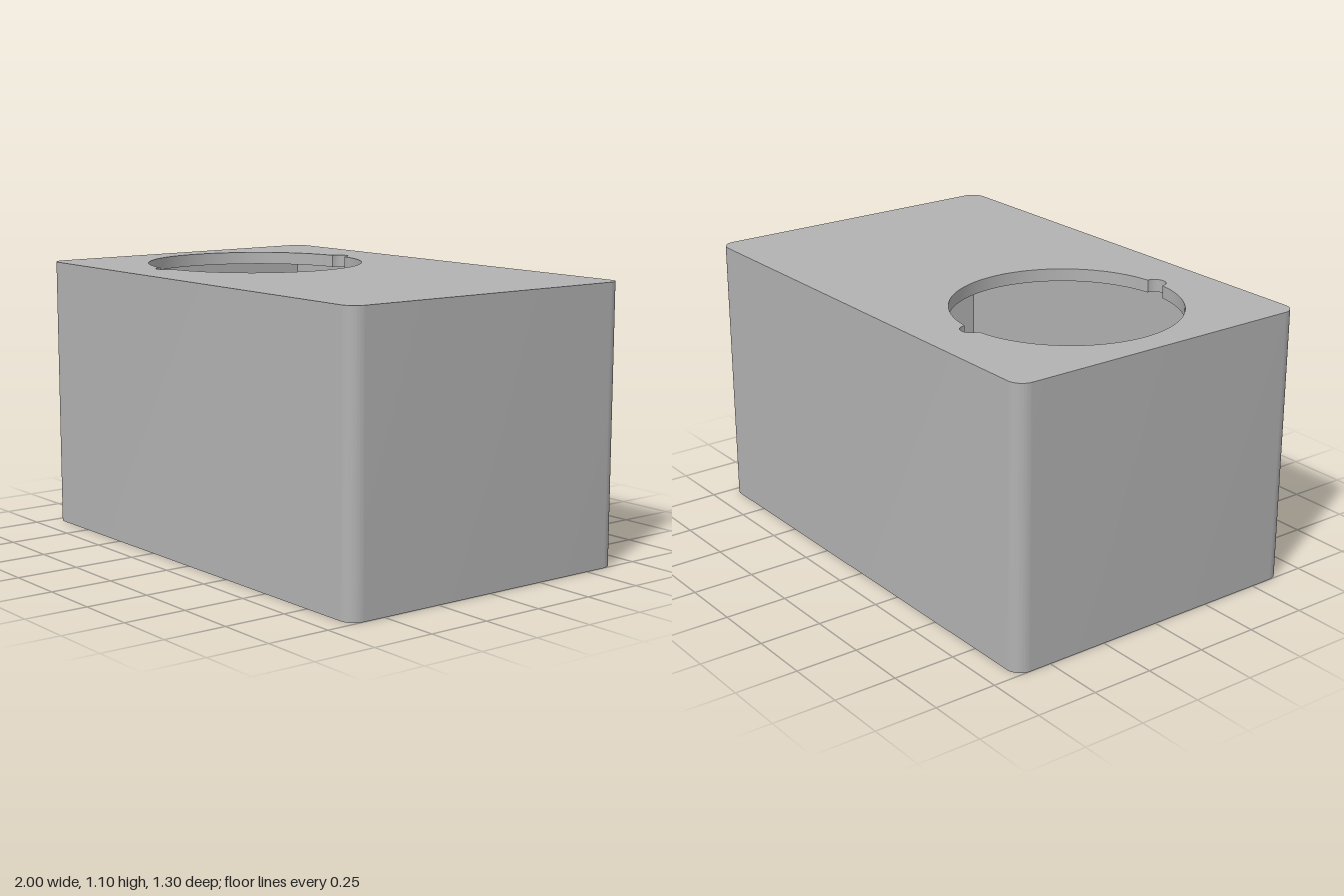
import * as THREE from 'three';
import { toCreasedNormals } from 'three/addons/utils/BufferGeometryUtils.js';

const H = 1.1, WALL = 0.055, TOP = 0.05, LID = 0.05, RECESS = 0.02;
const VENT_X = -0.45, OPEN_R = 0.44, NOTCH_R = 0.042;

// Outlines are drawn in the ground plane as (x, -z)
function roundedRect(w, d, r) {
  const s = new THREE.Shape(), x = w / 2, y = d / 2;
  s.absarc(x - r, y - r, r, 0, Math.PI / 2);
  s.absarc(-x + r, y - r, r, Math.PI / 2, Math.PI);
  s.absarc(-x + r, -y + r, r, Math.PI, Math.PI * 1.5);
  s.absarc(x - r, -y + r, r, Math.PI * 1.5, Math.PI * 2);
  s.closePath();
  return s;
}

function rect(cx, cy, w, d) {
  const x = w / 2, y = d / 2;
  return new THREE.Shape([[-x, -y], [x, -y], [x, y], [-x, y]].map(([a, b]) => new THREE.Vector2(cx + a, cy + b)));
}

function circle(x, y, r) {
  return new THREE.Shape().absarc(x, y, r, 0, Math.PI * 2);
}

// Round opening with a small key notch at the front and back
function openingShape() {
  const pts = [];
  const arc = (cx, cy, r, a0, a1, n) => {
    for (let i = 0; i < n; i++) {
      const a = a0 + (a1 - a0) * i / (n - 1);
      pts.push(new THREE.Vector2(cx + r * Math.cos(a), cy + r * Math.sin(a)));
    }
  };
  const gap = 2 * Math.asin(NOTCH_R / 2 / OPEN_R) + 0.012;
  for (const mid of [Math.PI / 2, Math.PI * 1.5]) {
    arc(VENT_X, 0, OPEN_R, mid - Math.PI + gap, mid - gap, 40);
    arc(VENT_X, OPEN_R * Math.sin(mid), NOTCH_R, mid - Math.PI / 2, mid + Math.PI / 2, 13);
  }
  return new THREE.Shape(pts);
}

// Upright band following an outline; inward turns the visible side to the inside
function band(points, y0, y1, inward) {
  const pts = inward ? [...points].reverse() : points;
  const pos = [];
  pts.forEach((p, i) => {
    const q = pts[(i + 1) % pts.length];
    if (p.distanceTo(q) < 1e-6) return;
    pos.push(p.x, y0, -p.y, q.x, y0, -q.y, q.x, y1, -q.y);
    pos.push(p.x, y0, -p.y, q.x, y1, -q.y, p.x, y1, -p.y);
  });
  const g = new THREE.BufferGeometry();
  g.setAttribute('position', new THREE.Float32BufferAttribute(pos, 3));
  return toCreasedNormals(g, 0.6);
}

// Flat face at a height, seen from above or below
function face(shape, y, up) {
  return new THREE.ShapeGeometry(shape, 8).rotateX(up ? -Math.PI / 2 : Math.PI / 2).translate(0, y, 0);
}

// Solid plate standing at a height
function slab(shape, y, thickness) {
  const g = new THREE.ExtrudeGeometry(shape, { depth: thickness, bevelEnabled: false, curveSegments: 10 });
  return toCreasedNormals(g.rotateX(-Math.PI / 2).translate(0, y, 0), 0.7);
}

export function createModel() {
  const model = new THREE.Group();
  model.name = 'enclosure';
  const grey = new THREE.MeshStandardMaterial({ color: 0xb2b2b2 });
  grey.name = 'grey plastic';
  const add = (parent, name, geometry) => {
    const m = new THREE.Mesh(geometry, grey);
    m.name = name;
    parent.add(m);
  };

  // Hollow case
  const body = new THREE.Group();
  body.name = 'case';
  model.add(body);
  const outer = () => roundedRect(2, 1.3, 0.06);
  const inner = () => rect(0, 0, 2 - 2 * WALL, 1.3 - 2 * WALL);
  const opening = openingShape();
  const top = outer(), ceiling = inner(), rim = outer();
  top.holes.push(opening);
  ceiling.holes.push(opening);
  rim.holes.push(inner());
  add(body, 'outerWalls', band(outer().getPoints(8), 0, H, false));
  add(body, 'innerWalls', band(inner().getPoints(), 0, H - TOP, true));
  add(body, 'top', face(top, H, true));
  add(body, 'ceiling', face(ceiling, H - TOP, false));
  add(body, 'openingEdge', band(opening.getPoints(), H - TOP, H, true));
  add(body, 'bottomRim', face(rim, 0, false));

  // Bottom lid: vent rings, corner screw holes and a stepped square socket
  const lid = new THREE.Group();
  lid.name = 'lid';
  model.add(lid);
  const lidShape = socketSize => {
    const s = rect(0, 0, 2 - 2 * WALL - 0.006, 1.3 - 2 * WALL - 0.006);
    for (let ring = 0; ring < 4; ring++) {
      const n = Math.max(1, ring * 6);
      for (let i = 0; i < n; i++) {
        const a = i / n * Math.PI * 2;
        s.holes.push(circle(VENT_X + 0.1 * ring * Math.cos(a), 0.1 * ring * Math.sin(a), 0.027));
      }
    }
    for (const x of [-0.92, 0.92]) for (const y of [-0.57, 0.57]) s.holes.push(circle(x, y, 0.012));
    s.holes.push(rect(0.18, -0.375, socketSize, socketSize));
    return s;
  };
  add(lid, 'lidOuterLayer', slab(lidShape(0.2), 0, RECESS));
  add(lid, 'lidInnerLayer', slab(lidShape(0.13), RECESS, LID - RECESS));

  // Screw posts around the vents
  for (const x of [-0.294, 0.294]) for (const y of [-0.294, 0.294]) {
    const post = circle(VENT_X + x, y, 0.028);
    post.holes.push(circle(VENT_X + x, y, 0.014));
    add(lid, 'screwPost', slab(post, LID, 0.1));
  }
  return model;
}
